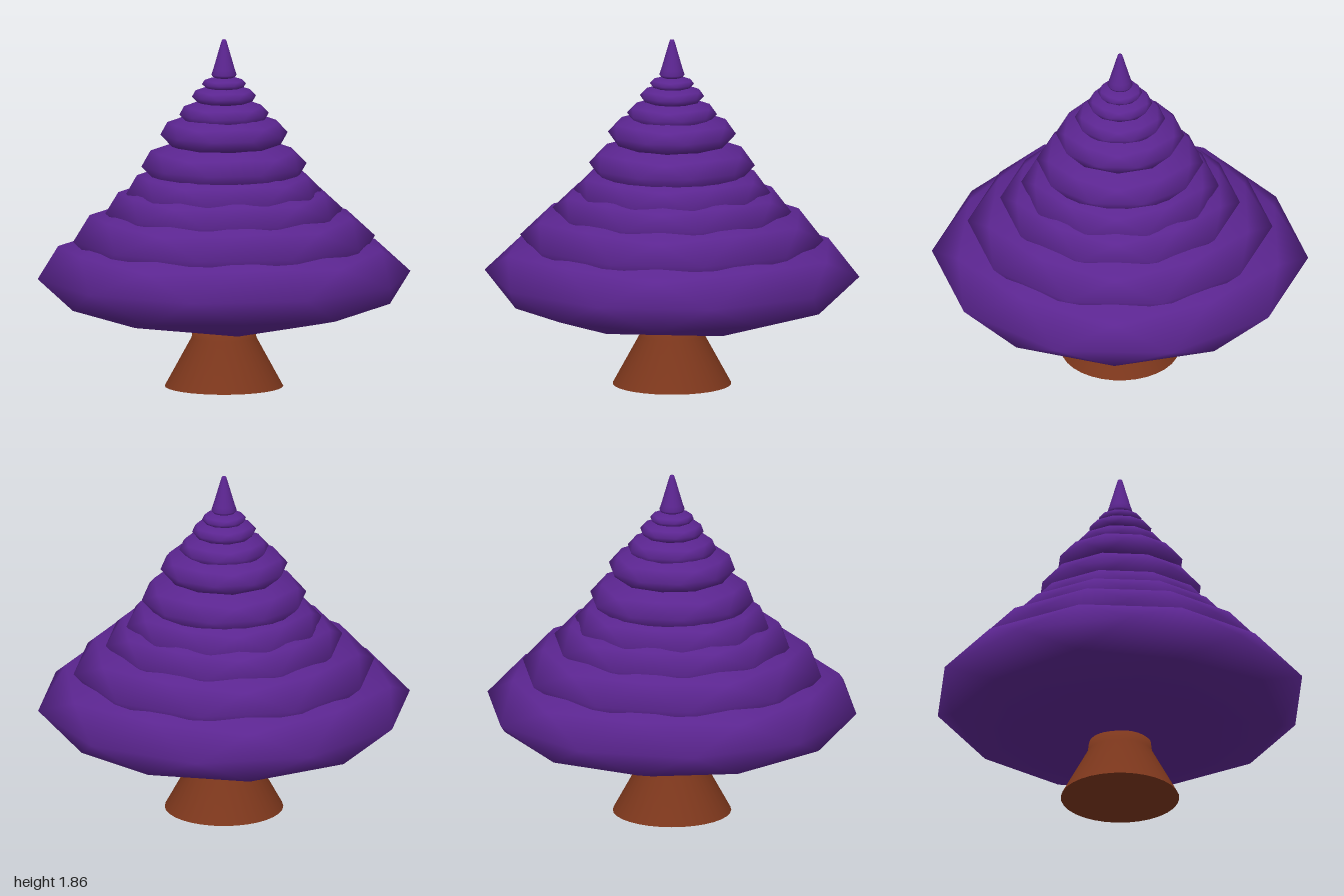
import * as THREE from 'three';

const foliageMaterial = new THREE.MeshStandardMaterial({ color: 0x5b2590 });
const trunkMaterial = new THREE.MeshStandardMaterial({ color: 0x7d371c });

// Each foliage tier: [centre height, radius, half height]
const TIERS = [
  [0.595, 1.0, 0.293],
  [0.79, 0.81, 0.24],
  [0.94, 0.637, 0.19],
  [1.043, 0.525, 0.17],
  [1.188, 0.443, 0.147],
  [1.357, 0.342, 0.116],
  [1.462, 0.24, 0.08],
  [1.558, 0.172, 0.057],
  [1.624, 0.118, 0.037],
];

function lathe(name, points, segments, material) {
  const profile = points.map(([r, y]) => new THREE.Vector2(r, y));
  const mesh = new THREE.Mesh(new THREE.LatheGeometry(profile, segments), material);
  mesh.name = name;
  return mesh;
}

export function createModel() {
  const tree = new THREE.Group();
  tree.name = 'tree';

  // Flared trunk, with a flat base
  tree.add(lathe('trunk', [[0.315, 0], [0.172, 0.262], [0.163, 0.33], [0, 0.35]], 32, trunkMaterial));
  const base = new THREE.Mesh(new THREE.CircleGeometry(0.315, 32).rotateX(Math.PI / 2), trunkMaterial);
  base.name = 'trunkBase';
  tree.add(base);

  // Smooth icosphere standing on one corner, so its waist is a ten-sided ring
  const ball = new THREE.IcosahedronGeometry(1, 1);
  ball.rotateX(-Math.atan((1 + Math.sqrt(5)) / 2));
  ball.rotateY(Math.PI / 2);

  // Stacked, flattened foliage tiers
  const foliage = new THREE.Group();
  foliage.name = 'foliage';
  TIERS.forEach(([y, radius, halfHeight], i) => {
    const tier = new THREE.Mesh(ball, foliageMaterial);
    tier.name = `foliageTier${i + 1}`;
    tier.position.y = y;
    tier.scale.set(radius, halfHeight, radius);
    foliage.add(tier);
  });
  tree.add(foliage);

  // Pointed tip
  tree.add(lathe('tip', [
    [0, 1.645], [0.035, 1.652], [0.06, 1.662], [0.067, 1.674], [0.058, 1.7],
    [0.016, 1.845], [0.011, 1.86], [0, 1.863],
  ], 20, foliageMaterial));

  return tree;
}
